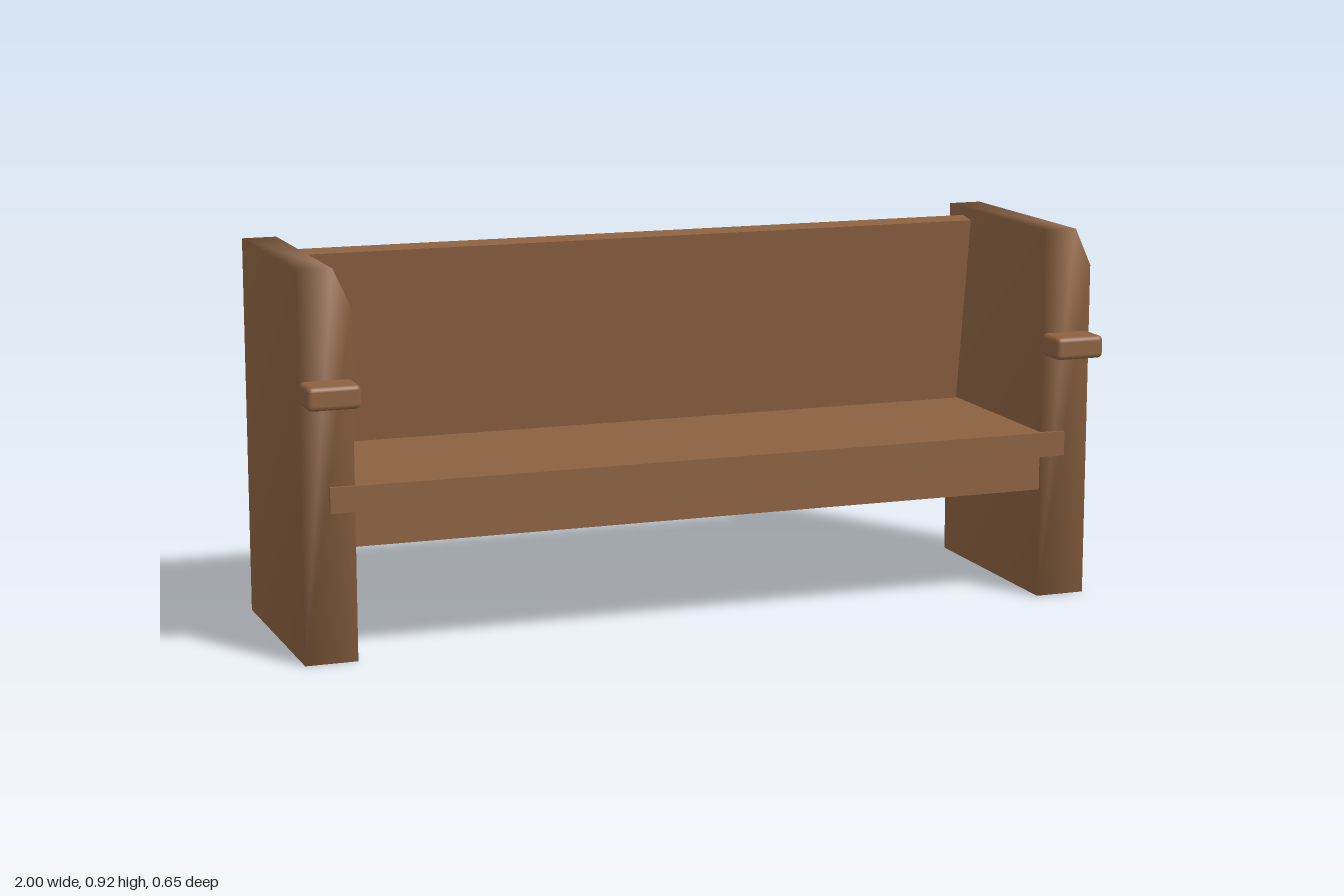
import * as THREE from 'three';
import { mergeVertices } from 'three/addons/utils/BufferGeometryUtils.js';
import { RoundedBoxGeometry } from 'three/addons/geometries/RoundedBoxGeometry.js';

const wood = new THREE.MeshStandardMaterial({ color: 0x8b6140 });

function add(group, name, geometry, x, y, z) {
  const mesh = new THREE.Mesh(geometry, wood);
  mesh.name = name;
  mesh.position.set(x, y, z);
  group.add(mesh);
  return mesh;
}

// Box given by its limits along each axis
function board(group, name, [x0, x1], [y0, y1], [z0, z1]) {
  const geometry = new THREE.BoxGeometry(x1 - x0, y1 - y0, z1 - z0);
  return add(group, name, geometry, (x0 + x1) / 2, (y0 + y1) / 2, (z0 + z1) / 2);
}

// End panel: bevelled on its +x top edge, with soft shared normals
function panelGeometry() {
  const shape = new THREE.Shape([
    [0, 0], [0.126, 0], [0.126, 0.83], [0.084, 0.922], [0, 0.922],
  ].map(([x, y]) => new THREE.Vector2(x, y)));
  const raw = new THREE.ExtrudeGeometry(shape, { depth: 0.546, bevelEnabled: false });
  raw.deleteAttribute('normal');
  raw.deleteAttribute('uv');
  const geometry = mergeVertices(raw);
  geometry.computeVertexNormals();
  return geometry;
}

export function createModel() {
  const bench = new THREE.Group();
  bench.name = 'bench';

  // End panels, each with an armrest bar let into it
  const panel = panelGeometry();
  const bar = new RoundedBoxGeometry(0.126, 0.056, 0.627, 2, 0.012);
  for (const [side, x] of [['right', -1], ['left', 0.874]]) {
    add(bench, side + 'EndPanel', panel, x, 0, -0.3);
    add(bench, side + 'Armrest', bar, x + 0.064, 0.638, 0.0115);
  }

  // Seat with front lip and apron below it
  board(bench, 'seat', [-0.89, 0.89], [0.358, 0.418], [-0.262, 0.25]);
  board(bench, 'seatLip', [-0.935, 0.935], [0.357, 0.418], [0.205, 0.256]);
  board(bench, 'apron', [-0.89, 0.89], [0.272, 0.358], [0.2, 0.243]);

  // Leaning backrest
  const slope = Math.atan(0.149);
  const back = add(bench, 'backrest', new THREE.BoxGeometry(1.775, 0.512, 0.05), -0.0175, 0.645, -0.228);
  back.rotation.x = slope;

  // Rail behind the backrest
  board(bench, 'backRail', [-0.87, 0.866], [0.586, 0.616], [-0.325, -0.25]);

  return bench;
}
